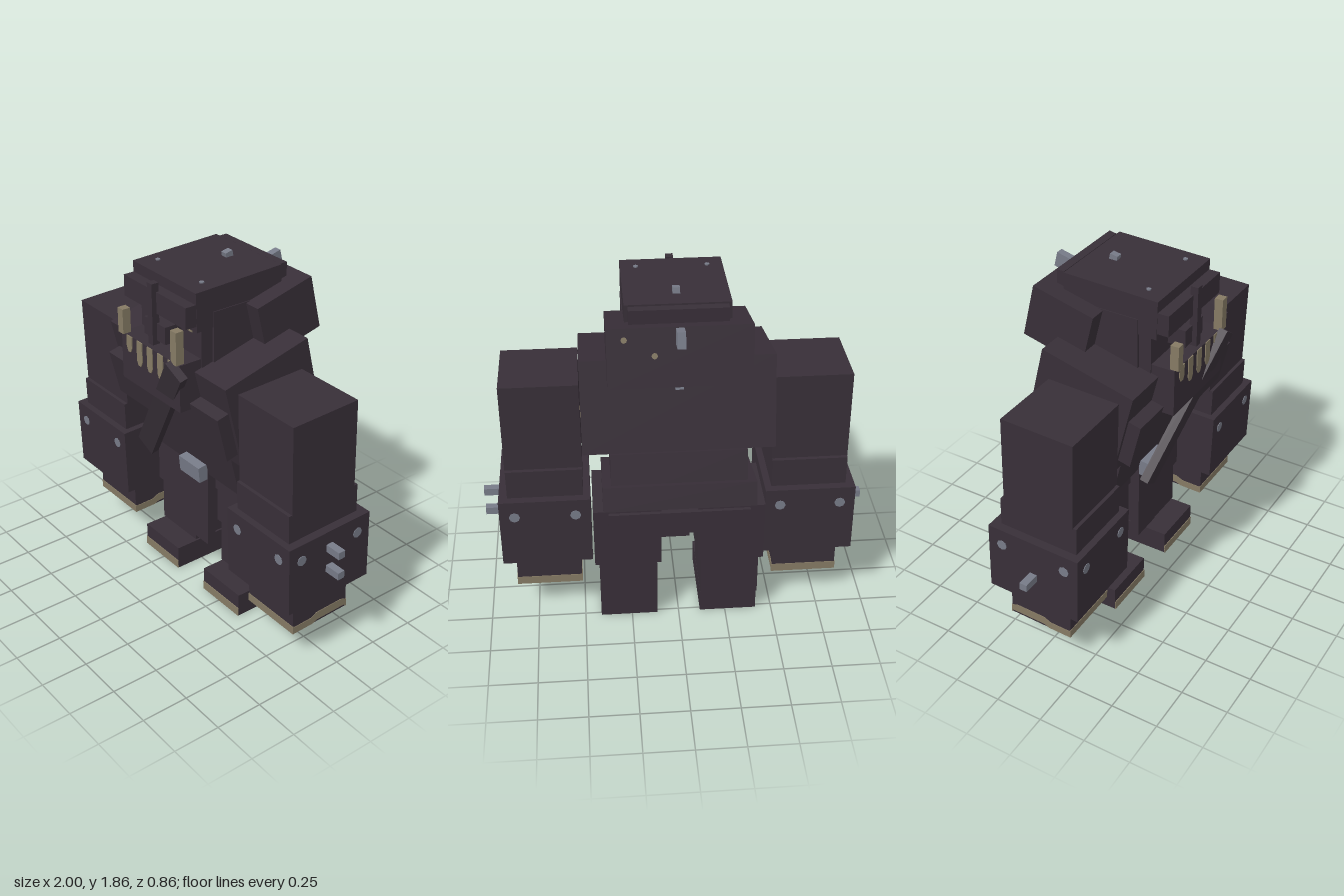
import * as THREE from 'three';

export function createModel() {
  const root = new THREE.Group();
  root.name = 'armouredBrute';
  const make = (name, color) => new THREE.MeshStandardMaterial({ name, color });
  const dark = make('darkHide', 0x382f38);
  const bone = make('bone', 0x857a64);
  const steel = make('steel', 0x777b88);

  const add = (parent, name, geo, mat, x, y, z, rx = 0) => {
    const m = new THREE.Mesh(geo, mat);
    m.name = name;
    m.position.set(x, y, z);
    m.rotation.x = rx;
    parent.add(m);
    return m;
  };
  // Box by centre and size, optionally pitched about x
  const box = (parent, name, mat, [x, y, z], [w, h, d], rx = 0) =>
    add(parent, name, new THREE.BoxGeometry(w, h, d), mat, x, y, z, rx);
  // Box by x, y and z ranges
  const span = (parent, name, mat, x0, x1, y0, y1, z0, z1) =>
    box(parent, name, mat, [(x0 + x1) / 2, (y0 + y1) / 2, (z0 + z1) / 2], [x1 - x0, y1 - y0, z1 - z0]);
  // Thin eight-sided rivet facing along 'dir'
  const rivet = (parent, mat, r, pos, dir) => {
    const m = add(parent, 'rivet', new THREE.CylinderGeometry(r, r, 0.006, 8), mat, ...pos);
    m.quaternion.setFromUnitVectors(new THREE.Vector3(0, 1, 0), new THREE.Vector3(...dir).normalize());
  };

  // Hunched torso
  const tilt = 0.24;
  const chest = new THREE.Group();
  chest.name = 'chest';
  chest.position.set(0, 1.243, 0);
  chest.rotation.x = tilt;
  root.add(chest);
  box(chest, 'ribcage', dark, [0, 0, 0], [0.95, 0.475, 0.51]);
  box(chest, 'breastPlate', dark, [0, -0.035, 0.28], [0.91, 0.25, 0.085]);
  box(chest, 'backBolt', steel, [0, 0.145, -0.295], [0.04, 0.08, 0.09]);
  box(chest, 'sidePatch', bone, [0.477, -0.11, 0.03], [0.008, 0.05, 0.04]);
  box(root, 'abdomen', dark, [0, 0.87, -0.09], [0.68, 0.26, 0.46], tilt);
  const hips = new THREE.Group();
  hips.name = 'hips';
  hips.position.set(0, 0.785, -0.155);
  hips.rotation.x = tilt;
  root.add(hips);
  box(hips, 'hipBlock', dark, [0, 0, 0], [0.77, 0.13, 0.43]);
  for (let i = 0; i < 8; i++) rivet(hips, bone, 0.013, [-0.29 + i * 0.083, -0.065, -0.192], [0, -1, 0]);

  // Pelvis, belt and loincloth
  span(root, 'pelvis', dark, -0.36, 0.36, 0.59, 0.74, -0.31, 0.06);
  span(root, 'beltBack', dark, -0.36, 0.36, 0.59, 0.72, -0.34, -0.31);
  span(root, 'loincloth', dark, -0.087, 0.087, 0.25, 0.74, 0.06, 0.11);
  box(root, 'buckle', steel, [0, 0.705, 0.135], [0.17, 0.09, 0.06], 0.1);

  // Head
  box(root, 'skull', dark, [0, 1.725, 0.045], [0.505, 0.2, 0.51], 0.03);
  span(root, 'face', dark, -0.245, 0.245, 1.4, 1.65, -0.15, 0.265);
  span(root, 'neck', dark, -0.257, 0.257, 1.4, 1.7, -0.15, 0.2);
  span(root, 'jaw', dark, -0.24, 0.24, 1.22, 1.47, 0.1, 0.39);
  span(root, 'brow', dark, -0.25, 0.25, 1.65, 1.76, 0.29, 0.36);
  span(root, 'noseBlock', dark, -0.085, 0.085, 1.51, 1.6, 0.26, 0.36);
  span(root, 'noseGuard', dark, -0.019, 0.019, 1.49, 1.805, 0.345, 0.385);
  span(root, 'crestPlate', dark, -0.235, 0.235, 1.62, 1.828, -0.257, -0.215);
  box(root, 'headBolt', steel, [0, 1.83, -0.08], [0.036, 0.05, 0.042], 0.2);
  for (const s of [-1, 1]) {
    span(root, 'eye', bone, s * 0.13 - 0.045, s * 0.13 + 0.045, 1.585, 1.62, 0.263, 0.27);
    rivet(root, steel, 0.012, [s * 0.175, 1.815, -0.14], [0, 1, 0]);
    rivet(root, steel, 0.012, [s * 0.175, 1.825, 0.21], [0, 1, 0]);
  }
  span(root, 'rightTusk', bone, -0.24, -0.197, 1.475, 1.605, 0.365, 0.41);
  span(root, 'leftTusk', bone, 0.195, 0.24, 1.475, 1.645, 0.365, 0.41);
  span(root, 'jawPatch', bone, 0.238, 0.252, 1.29, 1.37, 0.2, 0.26);

  // Tapered teeth on the jaw
  [0.085, 0.13, 0.13, 0.13, 0.12].forEach((len, i) => {
    const s = new THREE.Shape([[-0.022, 0], [-0.022, 0.025 - len], [-0.01, -len], [0.01, -len],
      [0.022, 0.025 - len], [0.022, 0]].map(p => new THREE.Vector2(...p)));
    const geo = new THREE.ExtrudeGeometry(s, { depth: 0.006, bevelEnabled: false });
    add(root, 'tooth', geo, bone, (i - 2) * 0.086, 1.47, 0.389);
  });

  // Heavy mane behind the head
  const mane = new THREE.Group();
  mane.name = 'mane';
  mane.position.set(0, 1.592, -0.19);
  mane.rotation.x = tilt;
  root.add(mane);
  box(mane, 'maneBlock', dark, [0, 0, 0], [0.685, 0.29, 0.34]);
  box(mane, 'maneBolt', steel, [0, 0.1, -0.205], [0.04, 0.08, 0.09]);
  rivet(mane, bone, 0.015, [0.26, 0.09, -0.17], [0, 0, -1]);
  rivet(mane, bone, 0.015, [0.12, 0.01, -0.17], [0, 0, -1]);

  // Diagonal strap across the chest
  const top = new THREE.Vector3(0.245, 1.455, 0.412);
  const low = new THREE.Vector3(-0.243, 0.775, 0.25);
  const along = top.clone().sub(low);
  const strap = add(root, 'strap', new THREE.BoxGeometry(0.118, along.length(), 0.045), dark,
    ...top.clone().add(low).multiplyScalar(0.5).toArray());
  along.normalize();
  const facing = new THREE.Vector3(0, -0.23, 1);
  const across = along.clone().cross(facing).normalize();
  strap.quaternion.setFromRotationMatrix(
    new THREE.Matrix4().makeBasis(across, along, across.clone().cross(along)));

  for (const s of [-1, 1]) {
    const side = s > 0 ? 'left' : 'right';

    // Arm, pivoted at the elbow height
    const arm = new THREE.Group();
    arm.name = side + 'Arm';
    arm.position.set(s * 0.68, 0.75, 0);
    arm.rotation.x = 0.03;
    root.add(arm);
    box(arm, 'upperArm', dark, [s * -0.005, 0.39, 0.018], [0.39, 0.475, 0.39]);
    box(arm, 'elbow', dark, [s * -0.005, 0.07, 0.016], [0.385, 0.17, 0.43]);
    box(arm, 'gauntlet', dark, [0, -0.19, 0.011], [0.465, 0.38, 0.51]);
    box(arm, 'fist', dark, [0, -0.475, 0.009], [0.34, 0.21, 0.35]);
    for (const e of [-1, 1]) {
      for (const f of [-1, 1]) rivet(arm, steel, 0.028, [e * 0.155, -0.09, 0.011 + f * 0.255], [0, 0, f]);
      rivet(arm, steel, 0.028, [s * 0.2325, -0.09, 0.011 + e * 0.178], [s, 0, 0]);
    }
    // Gauntlet studs: two on the left, one on the right
    for (const y of s > 0 ? [-0.09, -0.21] : [-0.21])
      box(arm, 'stud', steel, [s * 0.276, y, 0.014], [0.088, 0.04, 0.04]);

    // Pale band around the knuckles, stepped on the sides
    for (const f of [-1, 1])
      box(arm, 'knuckleBand', bone, [0, -0.557, 0.009 + f * 0.175], [0.346, 0.045, 0.006]);
    const band = new THREE.Shape([[-0.175, 0], [-0.05, 0], [-0.02, 0.012], [0.175, 0.012], [0.175, 0.045],
      [0.14, 0.058], [-0.02, 0.058], [-0.06, 0.04], [-0.175, 0.04]].map(p => new THREE.Vector2(...p)));
    const bandGeo = new THREE.ExtrudeGeometry(band, { depth: 0.006, bevelEnabled: false });
    bandGeo.rotateY(Math.PI / 2);
    for (const e of [-1, 1]) add(arm, 'knuckleBand', bandGeo, bone, e * 0.17 - 0.003, -0.58, 0.009);

    // Leg
    const leg = new THREE.Group();
    leg.name = side + 'Leg';
    leg.position.x = s * 0.265;
    root.add(leg);
    span(leg, 'thigh', dark, -0.172, 0.172, 0.39, 0.73, -0.32, 0.05);
    span(leg, 'shin', dark, -0.15, 0.15, 0.14, 0.5, -0.3, 0.04);
    span(leg, 'foot', dark, -0.15, 0.15, 0, 0.13, -0.27, 0.16);
    span(leg, 'toeBand', bone, -0.15, 0.15, 0, 0.048, 0.158, 0.164);
  }
  return root;
}
